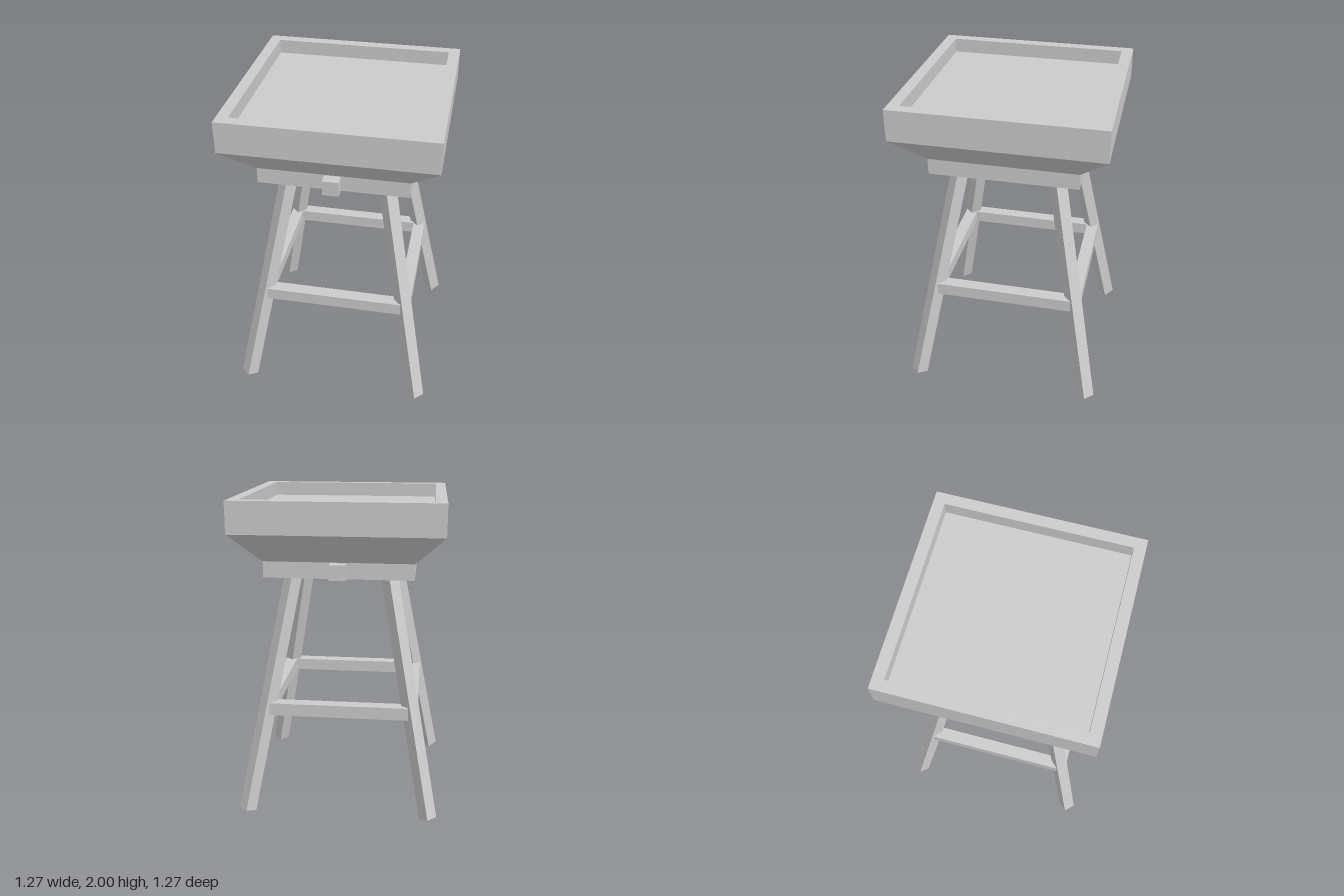
import * as THREE from 'three';

export function createModel() {
  const group = new THREE.Group();
  const material = new THREE.MeshStandardMaterial({ color: 0xcccccc, flatShading: true });

  function add(name, geometry, x = 0, y = 0, z = 0) {
    const mesh = new THREE.Mesh(geometry, material);
    mesh.name = name;
    mesh.position.set(x, y, z);
    group.add(mesh);
    return mesh;
  }

  function square(half, Type) {
    return new Type([[-half, -half], [half, -half], [half, half], [-half, half]]
      .map(([x, y]) => new THREE.Vector2(x, y)));
  }

  // Tray: square rim around a sunken floor
  const rimShape = square(0.637, THREE.Shape);
  rimShape.holes.push(square(0.567, THREE.Path));
  const rim = new THREE.ExtrudeGeometry(rimShape, { depth: 0.195, bevelEnabled: false });
  rim.rotateX(-Math.PI / 2);
  add('trayRim', rim, 0, 1.805, 0);
  add('trayFloor', new THREE.BoxGeometry(1.134, 0.105, 1.134), 0, 1.8575, 0);

  // Tapered body under the tray
  const taper = new THREE.CylinderGeometry(0.637 * Math.SQRT2, 0.46 * Math.SQRT2, 0.185, 4);
  taper.rotateY(Math.PI / 4);
  add('taperedBody', taper, 0, 1.7125, 0);

  // Base block with a small block at front and back
  add('baseBlock', new THREE.BoxGeometry(0.92, 0.1, 0.92), 0, 1.57, 0);
  for (const s of [1, -1]) {
    add(s > 0 ? 'frontKnob' : 'backKnob', new THREE.BoxGeometry(0.1, 0.094, 0.1), 0, 1.57, s * 0.48);
  }

  // Splayed square legs, turned to face the diagonals
  const topY = 1.56, bottomY = 0.01, topX = 0.292, bottomX = 0.582;
  const run = (bottomX - topX) * Math.SQRT2, rise = topY - bottomY;
  const legGeometry = new THREE.BoxGeometry(0.078, Math.hypot(run, rise), 0.078);
  legGeometry.rotateX(-Math.atan2(run, rise));
  const mid = (topX + bottomX) / 2;
  for (const sx of [1, -1]) {
    for (const sz of [1, -1]) {
      const name = (sz > 0 ? 'front' : 'back') + (sx > 0 ? 'Left' : 'Right') + 'Leg';
      const leg = add(name, legGeometry, sx * mid, (topY + bottomY) / 2, sz * mid);
      leg.rotation.y = Math.atan2(sx, sz);
    }
  }

  // Stretchers joining neighbouring legs
  const railGeometry = new THREE.BoxGeometry(0.88, 0.08, 0.08);
  ['front', 'left', 'back', 'right'].forEach((side, i) => {
    const a = i * Math.PI / 2;
    const rail = add(side + 'Stretcher', railGeometry, Math.sin(a) * 0.458, 0.675, Math.cos(a) * 0.458);
    rail.rotation.y = a;
  });

  return group;
}
